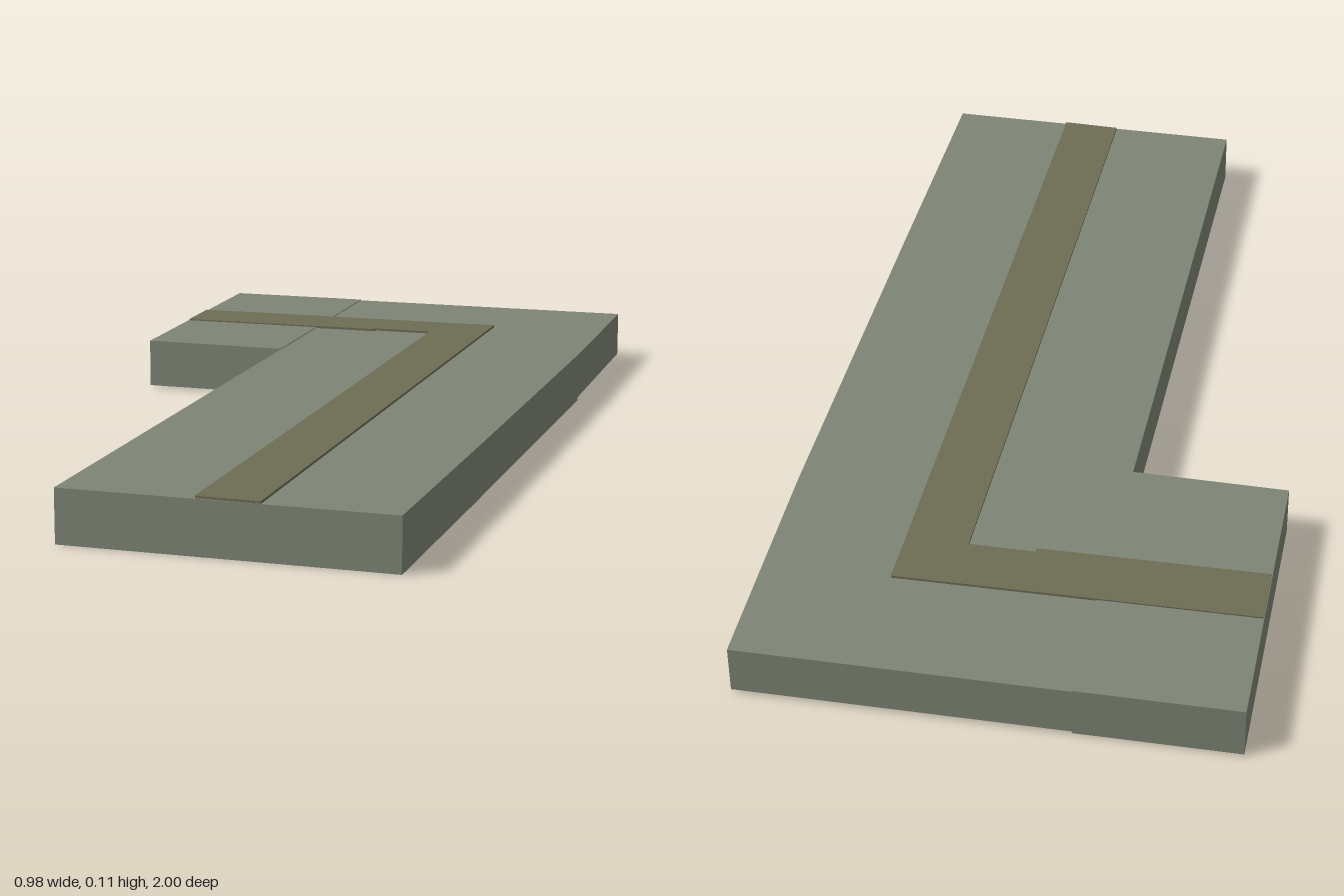
import * as THREE from 'three';

// Flat plate from a plan outline of [x, z] corners, between two heights
function plate(name, outline, bottom, top, material) {
  const shape = new THREE.Shape(outline.map(([x, z]) => new THREE.Vector2(x, -z)));
  const geometry = new THREE.ExtrudeGeometry(shape, { depth: top - bottom, bevelEnabled: false });
  geometry.rotateX(-Math.PI / 2);
  geometry.translate(0, bottom, 0);
  const mesh = new THREE.Mesh(geometry, material);
  mesh.name = name;
  return mesh;
}

export function createModel() {
  const model = new THREE.Group();
  model.name = 'cornerPath';
  const stone = new THREE.MeshStandardMaterial({ color: 0x7d8475 });
  const stripe = new THREE.MeshStandardMaterial({ color: 0x6d6d54 });

  model.add(
    // Short arm of the L
    plate('armSlab', [[-0.49, -1], [-0.17, -1], [-0.175, -0.34], [-0.493, -0.345]], 0.004, 0.109, stone),
    // Corner, its underside slightly raised
    plate('cornerSlab', [[-0.17, -1], [0.482, -1], [0.485, -0.48], [-0.174, -0.48]], 0.008, 0.107, stone),
    // Long leg in two sections
    plate('middleSlab', [[-0.174, -0.48], [0.485, -0.48], [0.474, 0.43], [-0.184, 0.43]], 0.001, 0.107, stone),
    plate('frontSlab', [[-0.184, 0.43], [0.474, 0.43], [0.465, 1], [-0.19, 0.99]], 0, 0.107, stone),
    // Thin bent stripe on top
    plate('stripe', [
      [-0.49, -0.74], [0.23, -0.745], [0.205, 0.995], [0.08, 0.99],
      [0.103, -0.625], [-0.03, -0.625], [-0.03, -0.615], [-0.49, -0.612],
    ], 0.1, 0.112, stripe),
  );
  return model;
}
